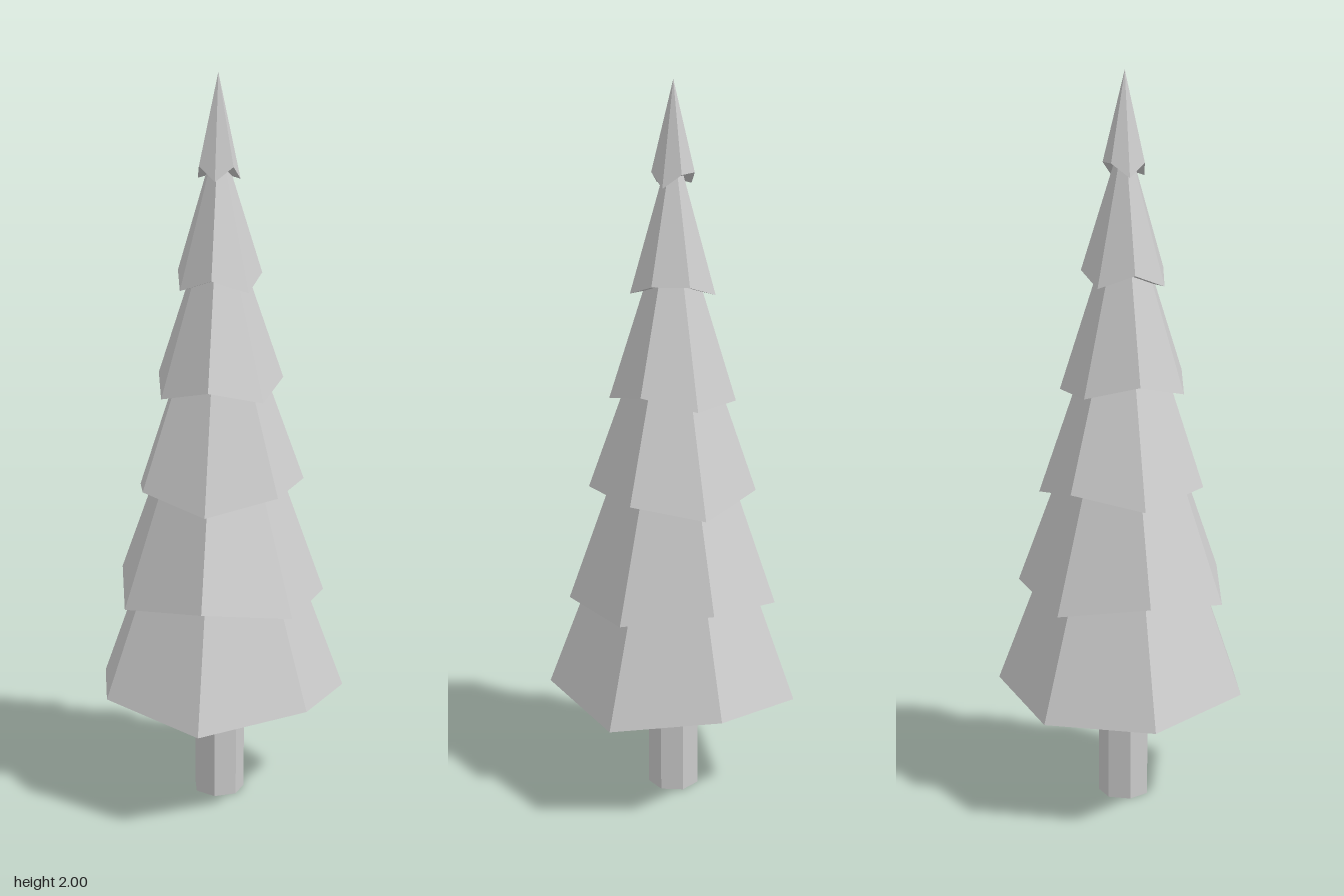
import * as THREE from 'three';

const SIDES = 7;
const AXIS_Z = 0.017; // the heptagon's own centre sits slightly forward of its bounds
const RIM_STEP = 0.037; // height difference between low and high rim corners

// Each tier's rim zigzags; with an odd corner count two neighbours share a level.
// pair = first corner of that pair (corner 0 points back, counting towards +x).
const ZIGZAG = [
  { pair: 5, high: false },
  { pair: 1, high: false },
  { pair: 1, high: true },
  { pair: 6, high: false },
  { pair: 0, high: true },
  { pair: 6, high: true },
];

// Seven-sided cone with alternating rim heights
function tierGeometry(radius, low, apex, { pair, high }) {
  const geo = new THREE.ConeGeometry(radius, 1, SIDES, 1, false, Math.PI);
  const pos = geo.attributes.position;
  for (let i = 0; i < pos.count; i++) {
    const x = pos.getX(i), z = pos.getZ(i);
    if (pos.getY(i) > 0) {
      pos.setY(i, apex);
    } else if (Math.hypot(x, z) < radius / 2) {
      pos.setY(i, low + RIM_STEP / 2); // centre of the underside
    } else {
      const corner = Math.round(Math.atan2(x, -z) / (2 * Math.PI) * SIDES) + SIDES;
      const step = (corner - pair - 1 + 2 * SIDES) % SIDES; // even steps share the pair's level
      const raised = (step % 2 === 0) === high;
      pos.setY(i, low + (raised ? RIM_STEP : 0));
    }
  }
  const flat = geo.toNonIndexed();
  flat.computeVertexNormals();
  return flat;
}

export function createModel() {
  const tree = new THREE.Group();
  tree.name = 'pineTree';
  const material = new THREE.MeshStandardMaterial({ color: 0xcccccc, flatShading: true });

  // Trunk
  const trunkHeight = 0.4;
  const trunk = new THREE.Mesh(
    new THREE.CylinderGeometry(0.071, 0.071, trunkHeight, SIDES, 1, false, Math.PI), material);
  trunk.name = 'trunk';
  trunk.position.set(0, trunkHeight / 2, AXIS_Z);
  tree.add(trunk);

  // Branch tiers, shrinking evenly towards the tip
  ZIGZAG.forEach((zigzag, i) => {
    const tier = new THREE.Mesh(
      tierGeometry(0.348 - 0.058 * i, 0.3 + 0.285 * i, 1.25 + 0.15 * i, zigzag), material);
    tier.name = `branchTier${i + 1}`;
    tier.position.z = AXIS_Z;
    tree.add(tier);
  });

  return tree;
}
